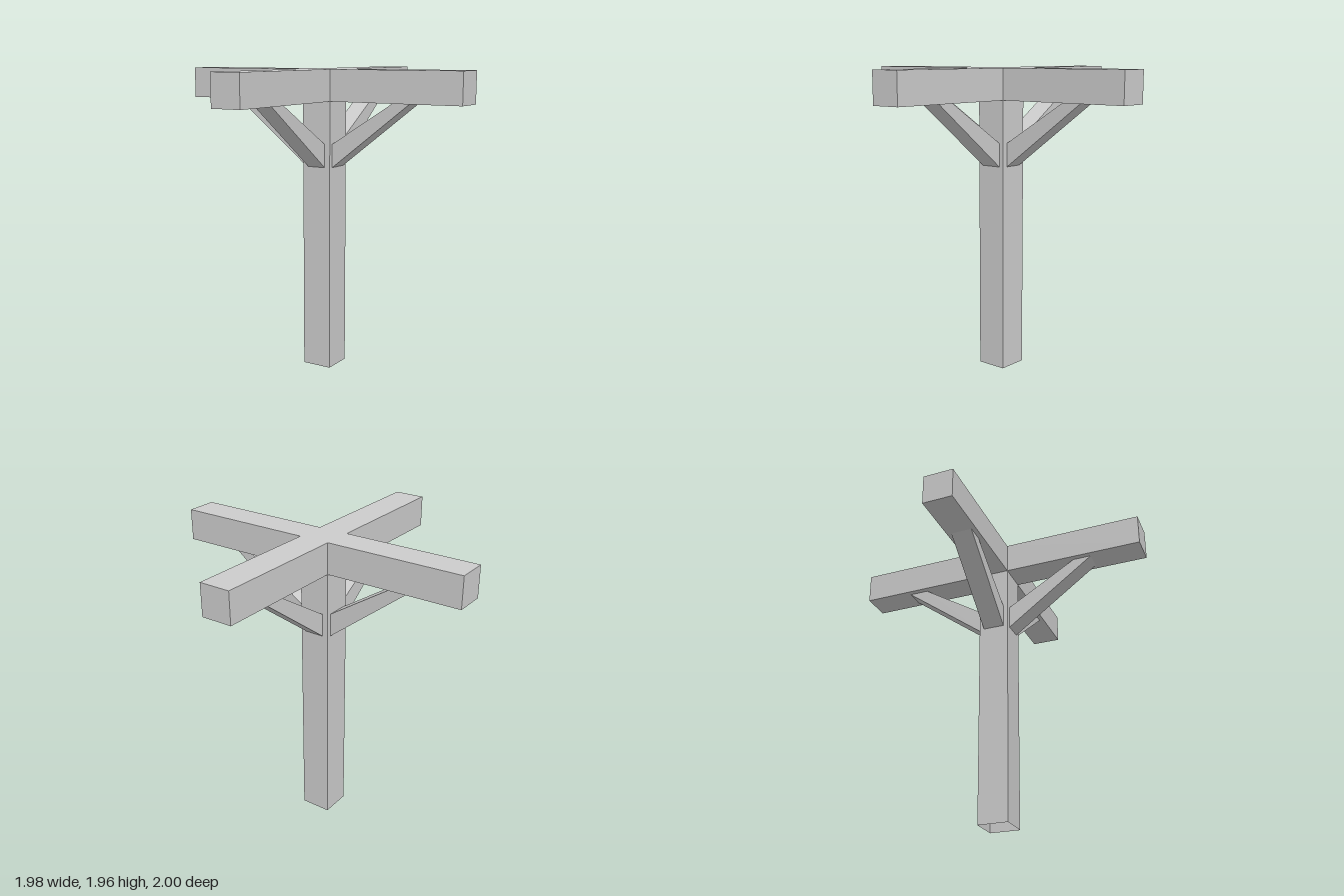
import * as THREE from 'three';

const HALF = 0.1;        // half thickness of post and beams
const BEAM_Y = 1.76;     // underside of the beams
const CENTRE_Z = -0.02;  // the post stands slightly behind the middle

const material = new THREE.MeshStandardMaterial({ color: 0xcccccc, flatShading: true });
const openMaterial = new THREE.MeshStandardMaterial({ color: 0xcccccc, flatShading: true, side: THREE.DoubleSide });

function extrude(points, depth) {
  const shape = new THREE.Shape(points.map(([x, y]) => new THREE.Vector2(x, y)));
  return new THREE.ExtrudeGeometry(shape, { depth, bevelEnabled: false });
}

function addMesh(parent, name, geometry, mat = material) {
  const mesh = new THREE.Mesh(geometry, mat);
  mesh.name = name;
  parent.add(mesh);
  return mesh;
}

export function createModel() {
  const model = new THREE.Group();
  model.name = 'crossBeamPost';

  // Square post, hollow and open at the ends
  const postGeometry = new THREE.CylinderGeometry(HALF * Math.SQRT2, HALF * Math.SQRT2, BEAM_Y, 4, 1, true);
  postGeometry.rotateY(Math.PI / 4);
  addMesh(model, 'post', postGeometry, openMaterial).position.set(0, BEAM_Y / 2, CENTRE_Z);

  // Crossed beams as one solid; shape y becomes -z
  const h = HALF, side = 0.99, front = -1, back = 1, c = -CENTRE_Z;
  const beams = extrude([
    [-h, front], [h, front], [h, c - h], [side, c - h], [side, c + h], [h, c + h],
    [h, back], [-h, back], [-h, c + h], [-side, c + h], [-side, c - h], [-h, c - h],
  ], 0.2);
  beams.rotateX(-Math.PI / 2);
  addMesh(model, 'crossBeams', beams).position.y = BEAM_Y;

  // Four diagonal braces, cut flush against post and beams
  const braces = [
    ['leftBrace', 0, 0.525, 0.64, 0.14],
    ['backBrace', Math.PI / 2, 0.53, 0.66, 0.125],
    ['rightBrace', Math.PI, 0.525, 0.64, 0.14],
    ['frontBrace', -Math.PI / 2, 0.56, 0.68, 0.125],
  ];
  for (const [name, angle, inner, outer, width] of braces) {
    const geometry = extrude([[h, 1.34], [outer, BEAM_Y], [inner, BEAM_Y], [h, 1.49]], width);
    geometry.translate(0, 0, -width / 2);
    const brace = addMesh(model, name, geometry);
    brace.rotation.y = angle;
    brace.position.z = CENTRE_Z;
  }
  return model;
}
